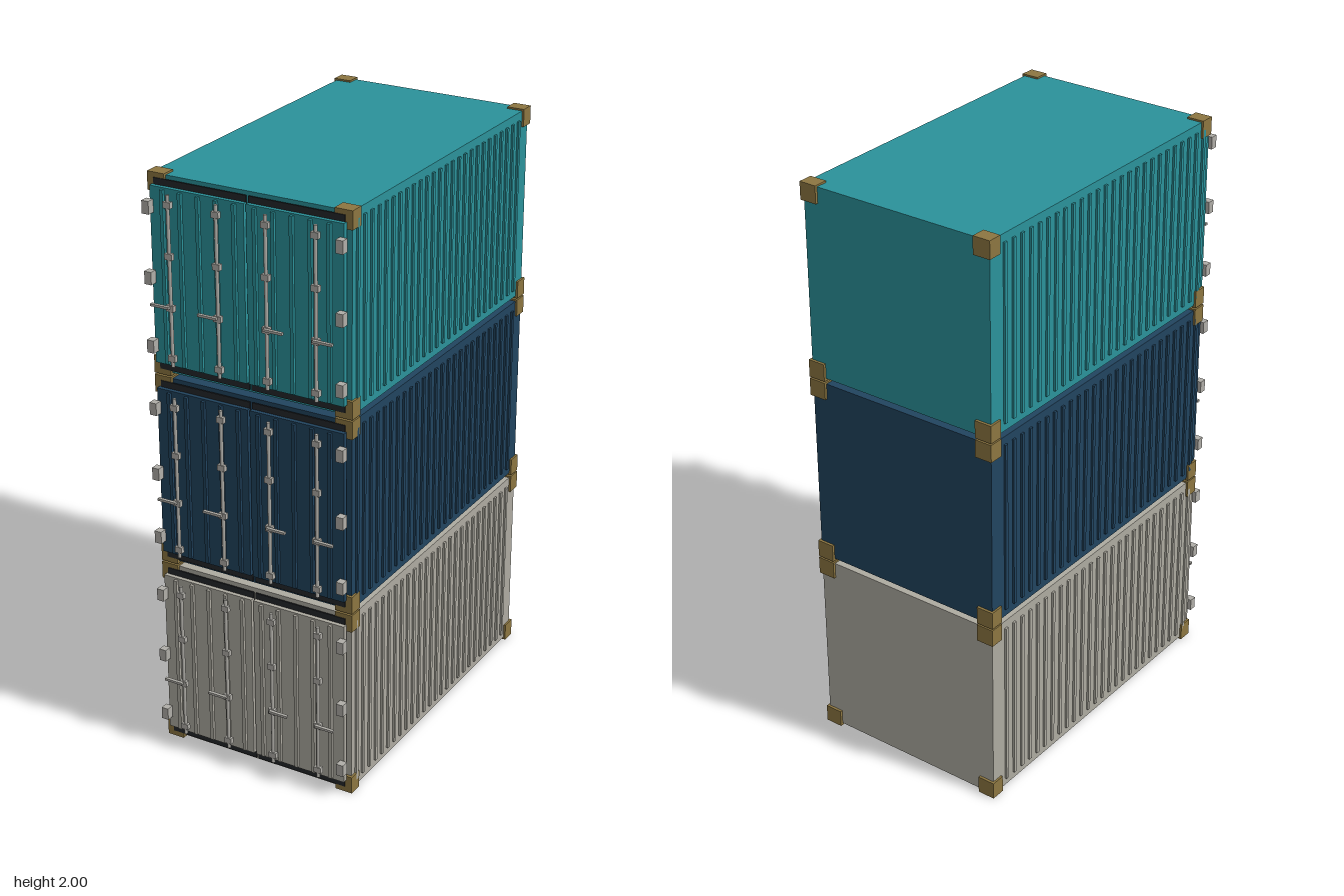
import * as THREE from 'three';

const mat = (name, color) => {
  const m = new THREE.MeshStandardMaterial({ color });
  m.name = name;
  return m;
};

// Box given by its min and max corners
function box(parent, name, material, [x0, y0, z0], [x1, y1, z1]) {
  const mesh = new THREE.Mesh(new THREE.BoxGeometry(Math.abs(x1 - x0), y1 - y0, z1 - z0), material);
  mesh.position.set((x0 + x1) / 2, (y0 + y1) / 2, (z0 + z1) / 2);
  mesh.name = name;
  parent.add(mesh);
  return mesh;
}

function createDoor(s, paint, hardware, rubber) {
  const door = new THREE.Group();
  door.name = s > 0 ? 'leftDoor' : 'rightDoor';

  // Rubber seal showing above and below the panel
  box(door, 'doorSeal', rubber, [s * 0.004, 0.02, 0.553], [s * 0.333, 0.647, 0.558]);
  box(door, 'doorPanel', paint, [s * 0.004, 0.046, 0.556], [s * 0.338, 0.626, 0.572]);
  for (let i = 0; i < 5; i++) {
    const x = s * (0.036 + i * 0.0637);
    box(door, 'doorRib', paint, [x - 0.006, 0.052, 0.571], [x + 0.006, 0.62, 0.582]);
  }

  // Hinges on the outer edge
  for (const y of [0.108, 0.335, 0.563]) {
    box(door, 'hinge', hardware, [s * 0.325, y - 0.021, 0.574], [s * 0.35, y + 0.021, 0.6]);
  }

  // Locking rods with brackets and handles
  for (const r of [0.086, 0.257]) {
    const x = s * r;
    const rod = new THREE.Mesh(new THREE.CylinderGeometry(0.006, 0.006, 0.56, 10), hardware);
    rod.position.set(x, 0.336, 0.597);
    rod.name = 'lockingRod';
    door.add(rod);
    for (const y of [0.085, 0.252, 0.42, 0.585]) {
      box(door, 'rodBracket', hardware, [x - 0.013, y - 0.01, 0.59], [x + 0.013, y + 0.01, 0.605]);
    }
    box(door, 'handle', hardware, [x - s * 0.003, 0.253, 0.606], [x + s * 0.064, 0.261, 0.617]);
  }
  return door;
}

function createContainer(name, paint, brass, hardware, rubber) {
  const container = new THREE.Group();
  container.name = name;
  box(container, 'body', paint, [-0.35, 0.008, -0.61], [0.35, 0.657, 0.545]);

  for (const s of [-1, 1]) {
    // Corrugated side wall
    for (let i = 0; i < 26; i++) {
      const z = -0.541 + i * 0.0423;
      box(container, 'sideRib', paint, [s * 0.348, 0.035, z - 0.006], [s * 0.357, 0.63, z + 0.006]);
    }
    // Corner castings
    for (const z of [-0.619, 0.505]) {
      for (const y of [0, 0.603]) {
        box(container, 'cornerCasting', brass, [s * 0.296, y, z], [s * 0.357, y + 0.06, z + 0.05]);
      }
    }
    container.add(createDoor(s, paint, hardware, rubber));
  }
  return container;
}

export function createModel() {
  const brass = mat('cornerBrass', 0x8c7641);
  const hardware = mat('galvanizedSteel', 0xb0aea8);
  const rubber = mat('blackRubber', 0x24272a);
  const stack = [
    ['bottomContainer', mat('greyPaint', 0xaeaba1)],
    ['middleContainer', mat('navyPaint', 0x21445f)],
    ['topContainer', mat('tealPaint', 0x2b929a)],
  ];
  const model = new THREE.Group();
  model.name = 'containerStack';
  stack.forEach(([name, paint], i) => {
    const container = createContainer(name, paint, brass, hardware, rubber);
    container.position.y = i * 0.6685;
    model.add(container);
  });
  return model;
}
